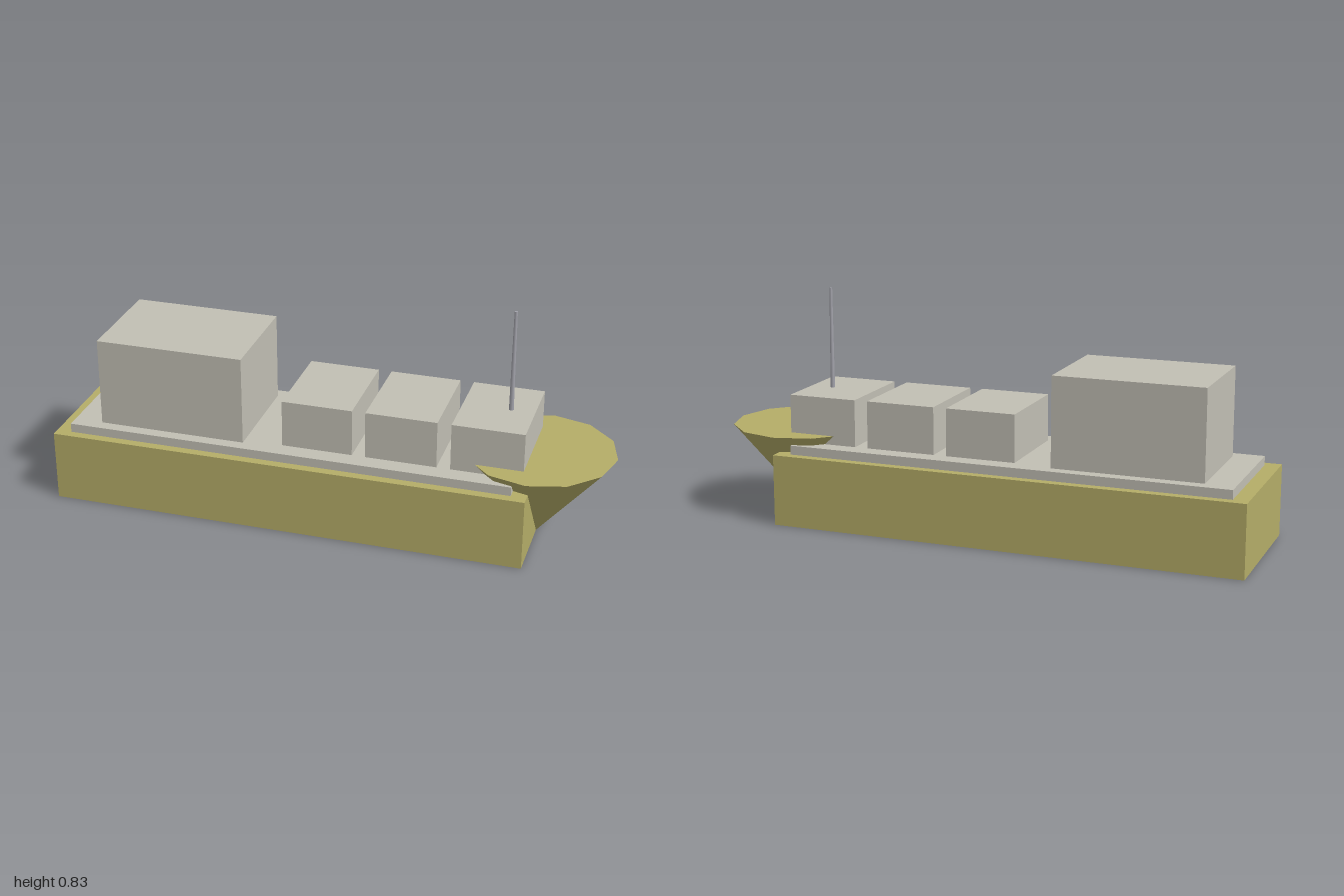
import * as THREE from 'three';

export function createModel() {
  const ship = new THREE.Group();
  ship.name = 'cargoShip';

  const hullPaint = new THREE.MeshStandardMaterial({ color: 0xb5ad68 });
  const deckPaint = new THREE.MeshStandardMaterial({ color: 0xc2bfb4 });
  const mastPaint = new THREE.MeshStandardMaterial({ color: 0xa3a3ab });

  function add(name, geometry, material, x, y) {
    const mesh = new THREE.Mesh(geometry, material);
    mesh.name = name;
    mesh.position.set(x, y, 0);
    ship.add(mesh);
  }

  // Box spanning x0..x1 and y0..y1, centred across the ship
  function block(name, x0, x1, y0, y1, width, material) {
    const geometry = new THREE.BoxGeometry(x1 - x0, y1 - y0, width);
    add(name, geometry, material, (x0 + x1) / 2, (y0 + y1) / 2);
  }

  // Hull and raised deck
  block('hull', -1, 0.73, 0, 0.26, 0.54, hullPaint);
  block('deck', -0.945, 0.676, 0.26, 0.293, 0.475, deckPaint);

  // Bow: an upturned twelve-sided cone with its tip at the keel
  add('bow', new THREE.CylinderGeometry(0.27, 0, 0.325, 12), hullPaint, 0.73, 0.1625);

  // Superstructure at the stern
  block('bridge', -0.84, -0.3, 0.293, 0.617, 0.39, deckPaint);

  // Row of cargo holds
  [-0.032, 0.272, 0.577].forEach((x, i) =>
    block(`cargoHold${i + 1}`, x - 0.128, x + 0.128, 0.293, 0.465, 0.346, deckPaint));

  // Tapered mast on the forward hold
  add('mast', new THREE.CylinderGeometry(0.0055, 0.0085, 0.37, 8), mastPaint, 0.62, 0.65);

  return ship;
}
